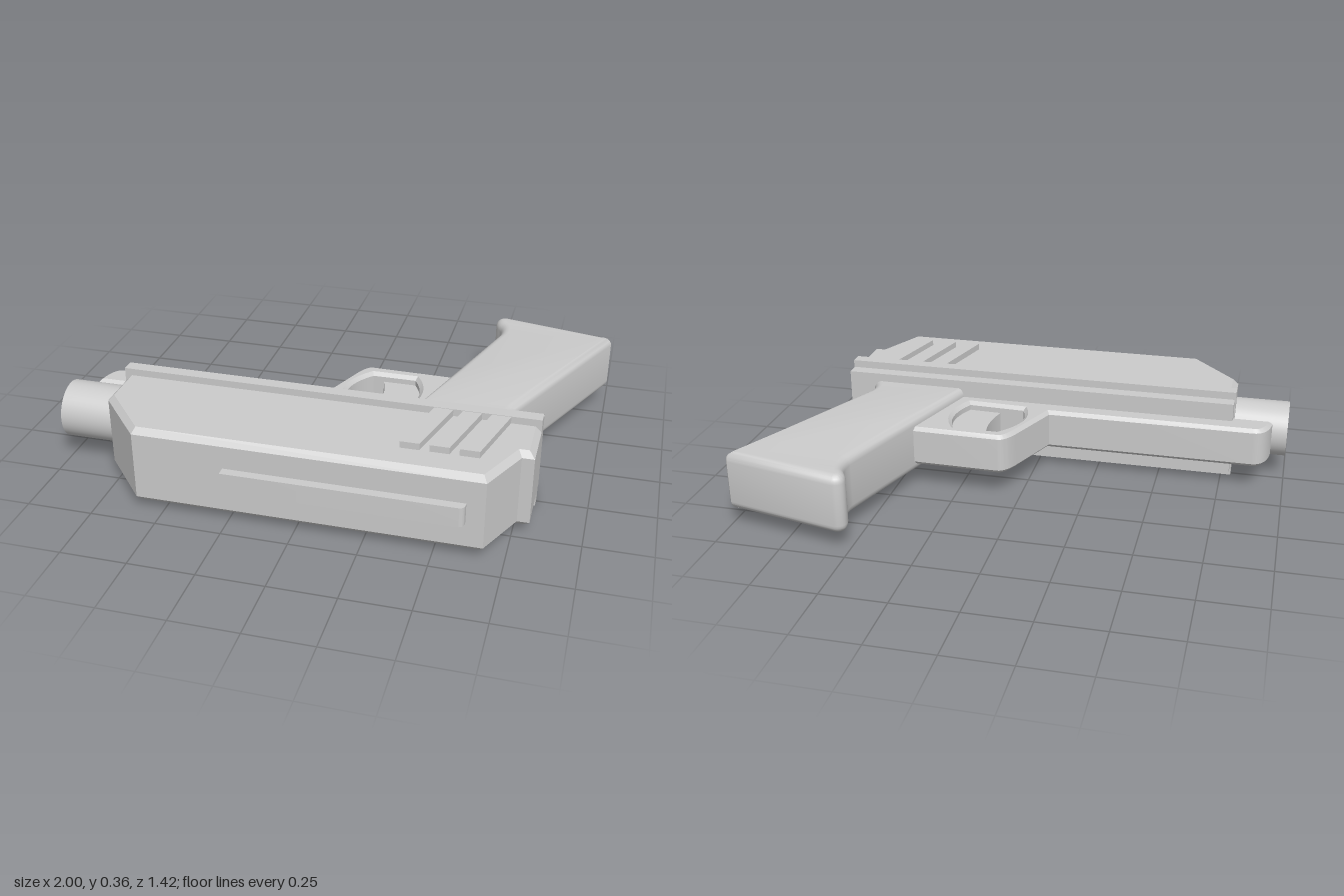
import * as THREE from 'three';
import { toCreasedNormals } from 'three/addons/utils/BufferGeometryUtils.js';

const MID = 0.18; // height of the plane of symmetry
const material = new THREE.MeshStandardMaterial({ color: 0xcccccc });

const toShape = pts => new THREE.Shape(pts.map(p => new THREE.Vector2(...p)));

// Plate drawn in the x-z plane, of full thickness t, centred at height y
function plate(name, shape, t, bevel = 0, { y = MID, segments = 1, crease = 0.3 } = {}) {
  let geo = new THREE.ExtrudeGeometry(shape, {
    depth: t - 2 * bevel, bevelEnabled: bevel > 0, bevelThickness: bevel,
    bevelSize: bevel, bevelOffset: -bevel, bevelSegments: segments, curveSegments: 10,
  });
  geo.translate(0, 0, bevel - t / 2);
  geo.rotateX(Math.PI / 2);
  geo = toCreasedNormals(geo, crease);
  const mesh = new THREE.Mesh(geo, material);
  mesh.position.y = y;
  mesh.name = name;
  return mesh;
}

function box(name, x0, x1, y0, y1, z0, z1) {
  const mesh = new THREE.Mesh(new THREE.BoxGeometry(x1 - x0, y1 - y0, z1 - z0), material);
  mesh.position.set((x0 + x1) / 2, (y0 + y1) / 2, (z0 + z1) / 2);
  mesh.name = name;
  return mesh;
}

export function createModel() {
  const model = new THREE.Group();
  model.name = 'toyPistol';

  // Slide with chamfered edges and a stepped rear
  model.add(plate('slide', toShape([
    [-0.785, 0.24], [0.81, 0.24], [0.81, 0.475], [0.765, 0.475],
    [0.675, 0.67], [-0.6, 0.67], [-0.785, 0.455],
  ]), 0.305, 0.022));

  // Wide flange and the narrower strip under it
  model.add(box('flange', -0.79, 0.81, 0, 0.36, 0.232, 0.282));
  model.add(box('frameStrip', -0.785, 0.808, 0.03, 0.33, 0.18, 0.24));

  // Slanted grip ridges on both faces of the slide
  for (let i = 0; i < 3; i++) {
    const x = 0.35 + i * 0.105;
    const ridge = toShape([[x, 0.55], [x + 0.07, 0.55], [x + 0.14, 0.28], [x + 0.07, 0.28]]);
    model.add(plate('ridgeUpper', ridge, 0.05, 0, { y: 0.333 }));
    model.add(plate('ridgeLower', ridge, 0.05, 0, { y: 0.027 }));
  }

  // Sight rail with one rounded corner
  const sight = new THREE.Shape();
  sight.moveTo(-0.26, 0.65);
  sight.lineTo(0.61, 0.65);
  sight.lineTo(0.61, 0.68);
  sight.quadraticCurveTo(0.61, 0.705, 0.585, 0.705);
  sight.lineTo(-0.26, 0.705);
  model.add(plate('sightRail', sight, 0.076, 0, { y: 0.184 }));

  // Hollow barrel
  const profile = [[0, 0.1], [0.065, 0.1], [0.065, 0], [0.11, 0], [0.11, 0.24]];
  let barrelGeo = new THREE.LatheGeometry(profile.map(p => new THREE.Vector2(...p)).reverse(), 40);
  barrelGeo = toCreasedNormals(barrelGeo, 0.6);
  barrelGeo.rotateZ(-Math.PI / 2);
  const barrel = new THREE.Mesh(barrelGeo, material.clone());
  barrel.material.side = THREE.DoubleSide;
  barrel.position.set(-1, 0.185, 0.33);
  barrel.name = 'barrel';
  model.add(barrel);

  // Lower frame and trigger guard in one plate
  const frame = new THREE.Shape();
  frame.moveTo(-0.94, 0.22);
  frame.quadraticCurveTo(-0.93, 0.11, -0.87, 0.11);
  frame.lineTo(-0.06, 0.11);
  frame.lineTo(0.02, -0.09);
  frame.quadraticCurveTo(0.05, -0.17, 0.085, -0.172);
  frame.lineTo(0.45, -0.165);
  frame.lineTo(0.45, 0.22);
  const hole = new THREE.Path();
  hole.moveTo(0.1, -0.115);
  hole.lineTo(0.27, -0.115);
  hole.quadraticCurveTo(0.345, 0, 0.275, 0.135);
  hole.lineTo(0.05, 0.125);
  hole.quadraticCurveTo(-0.01, 0, 0.1, -0.115);
  frame.holes.push(hole);
  model.add(plate('frameAndTriggerGuard', frame, 0.16, 0.014));

  // Trigger with a concave front
  const trigger = new THREE.Shape();
  trigger.moveTo(0.14, -0.12);
  trigger.quadraticCurveTo(0.19, 0.01, 0.14, 0.15);
  trigger.lineTo(0.34, 0.15);
  trigger.lineTo(0.34, -0.12);
  model.add(plate('trigger', trigger, 0.09));

  // Rounded handle with a flared toe
  const grip = new THREE.Shape();
  grip.moveTo(0.31, 0.2);
  grip.lineTo(0.425, -0.17);
  grip.lineTo(0.54, -0.54);
  grip.quadraticCurveTo(0.55, -0.6, 0.525, -0.635);
  grip.quadraticCurveTo(0.485, -0.7, 0.545, -0.715);
  grip.lineTo(0.99, -0.62);
  grip.lineTo(1, -0.605);
  grip.lineTo(0.695, 0.085);
  grip.quadraticCurveTo(0.675, 0.14, 0.715, 0.2);
  model.add(plate('grip', grip, 0.232, 0.034, { y: 0.182, segments: 5, crease: 0.7 }));

  return model;
}
